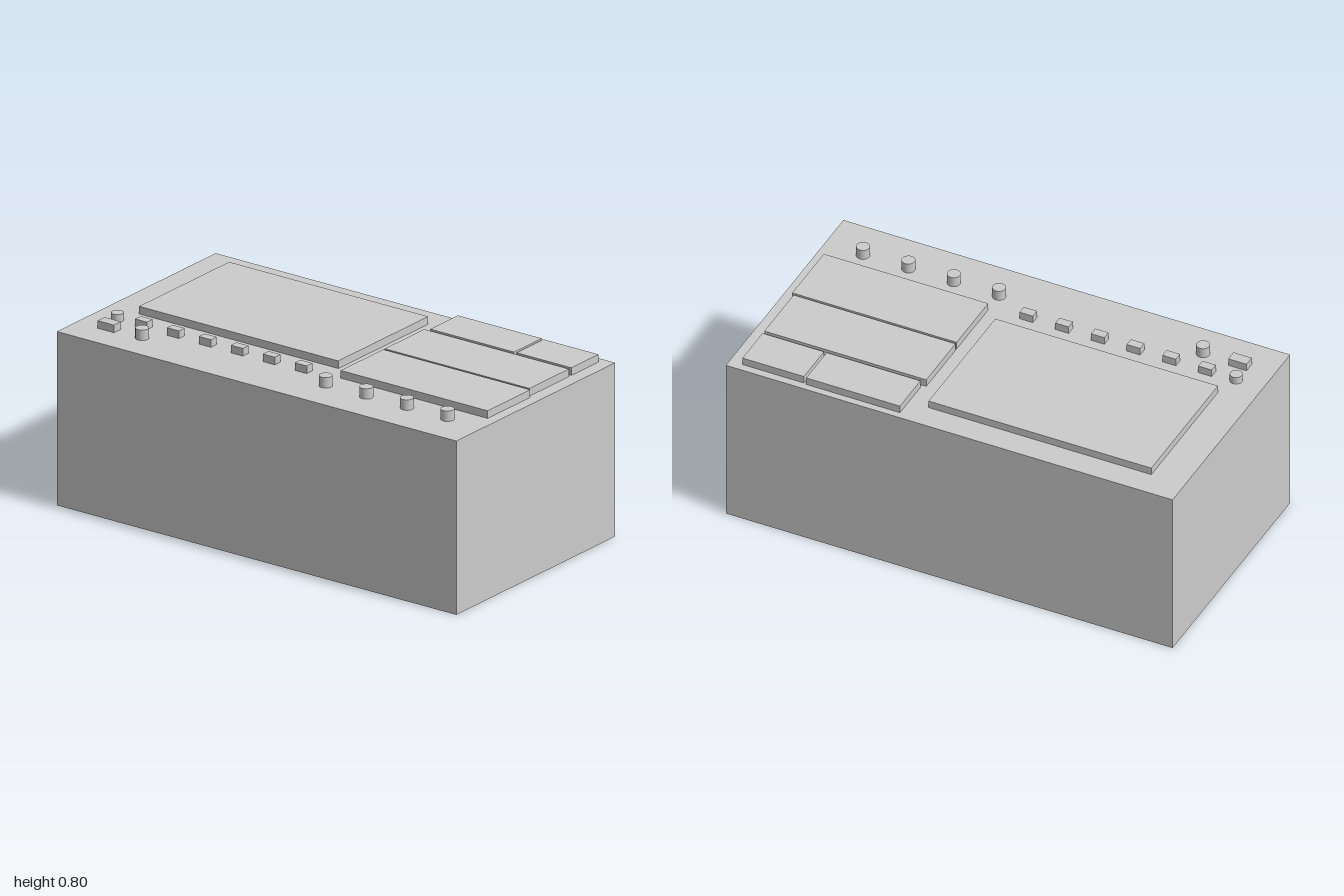
import * as THREE from 'three';

const TOP = 0.75; // height of the cabinet deck
const LOW = 0.033; // height of panels and buttons
const HIGH = 0.045; // height of knobs

export function createModel() {
  const group = new THREE.Group();
  const material = new THREE.MeshStandardMaterial({ color: 0xcccccc });

  const add = (name, geometry, x, y, z) => {
    const mesh = new THREE.Mesh(geometry, material);
    mesh.name = name;
    mesh.position.set(x, y, z);
    group.add(mesh);
  };
  // Raised rectangle on the deck, given by its edges
  const plate = (name, x0, x1, z0, z1) =>
    add(name, new THREE.BoxGeometry(x1 - x0, LOW, z1 - z0),
      (x0 + x1) / 2, TOP + LOW / 2, (z0 + z1) / 2);
  // Round control standing on the deck
  const round = (name, x, z, radius, height) =>
    add(name, new THREE.CylinderGeometry(radius, radius, height, 32),
      x, TOP + height / 2, z);

  // Cabinet
  add('cabinet', new THREE.BoxGeometry(2, TOP, 1.066), 0, TOP / 2, 0);

  // Screen and the block of panels beside it
  plate('screen', -0.85, 0.147, -0.422, 0.182);
  plate('rearPanelRight', 0.235, 0.655, -0.503, -0.317);
  plate('rearPanelLeft', 0.667, 0.942, -0.499, -0.317);
  plate('middlePanel', 0.217, 0.942, -0.301, -0.036);
  plate('frontPanel', 0.217, 0.953, -0.026, 0.26);

  // Row of buttons below the screen
  for (let i = 0; i < 6; i++) {
    const x = -0.751 + i * 0.16;
    plate('button' + (i + 1), x - 0.03, x + 0.03, 0.264, 0.302);
  }
  plate('wideButton', -0.89, -0.808, 0.36, 0.407);
  round('roundButton', -0.88, 0.286, 0.026, LOW);

  // Knobs
  round('screenKnob', -0.683, 0.385, 0.028, HIGH);
  for (let i = 0; i < 4; i++) {
    round('knob' + (i + 1), 0.218 + i * 0.203, 0.361, 0.028, HIGH);
  }

  return group;
}
